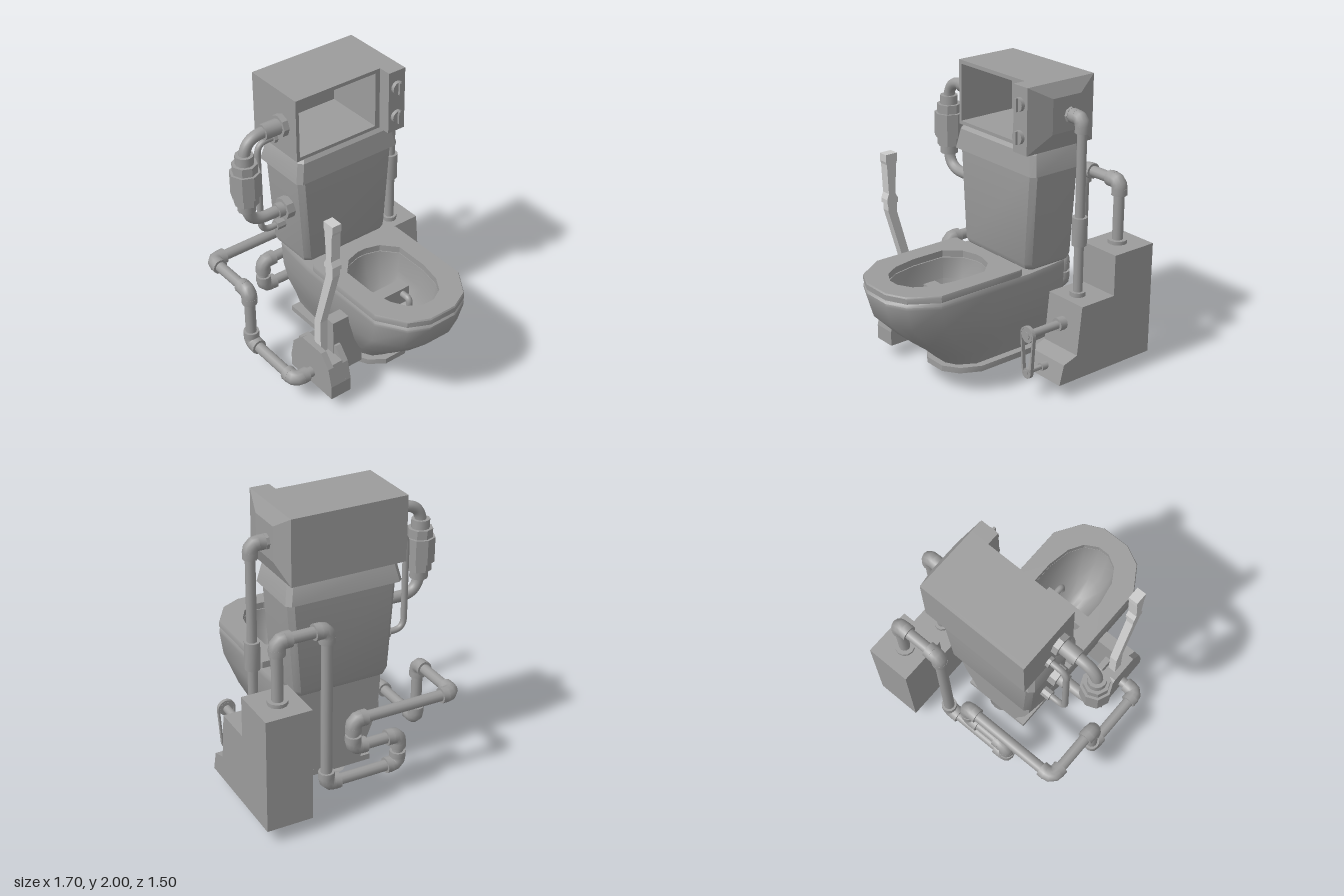
import * as THREE from 'three';
import { toCreasedNormals } from 'three/addons/utils/BufferGeometryUtils.js';

const V = (x, y, z) => new THREE.Vector3(x, y, z);

export function createModel() {
  const model = new THREE.Group();
  const grey = new THREE.MeshStandardMaterial({ color: 0x9c9c9c });
  const pale = new THREE.MeshStandardMaterial({ color: 0xcccccc });

  function add(name, geo, mat = grey, parent = model) {
    const m = new THREE.Mesh(geo, mat);
    m.name = name;
    parent.add(m);
    return m;
  }
  // box from min/max extents
  function box(name, x0, x1, y0, y1, z0, z1) {
    const g = new THREE.BoxGeometry(x1 - x0, y1 - y0, z1 - z0);
    g.translate((x0 + x1) / 2, (y0 + y1) / 2, (z0 + z1) / 2);
    return add(name, g);
  }
  // cylinder between two points
  function rod(name, a, b, r, seg = 12, parent = model) {
    const d = b.clone().sub(a);
    const g = new THREE.CylinderGeometry(r, r, d.length(), seg);
    const m = add(name, toCreasedNormals(g, 0.7), grey, parent);
    m.position.copy(a).addScaledVector(d, 0.5);
    m.quaternion.setFromUnitVectors(V(0, 1, 0), d.normalize());
    return m;
  }
  // skin through rings that run counter-clockwise seen from above
  function loft(rings, caps = true, crease = 0.5) {
    const n = rings[0].length, pos = rings.flat(2), idx = [];
    for (let i = 0; i < rings.length - 1; i++) for (let j = 0; j < n; j++) {
      const k = (j + 1) % n, a = i * n + j, b = i * n + k;
      idx.push(a, b, b + n, a, b + n, a + n);
    }
    const last = (rings.length - 1) * n;
    for (let j = 1; caps && j < n - 1; j++) idx.push(0, j + 1, j, last, last + j, last + j + 1);
    const g = new THREE.BufferGeometry();
    g.setAttribute('position', new THREE.Float32BufferAttribute(pos, 3));
    g.setIndex(idx);
    return toCreasedNormals(g, crease);
  }
  // rectangle ring with cut corners
  function rect(y, x0, x1, z0, z1, c) {
    return [[x1, z1 - c], [x1, z0 + c], [x1 - c, z0], [x0 + c, z0], [x0, z0 + c], [x0, z1 - c], [x0 + c, z1], [x1 - c, z1]]
      .map(([x, z]) => [x, y, z]);
  }
  // flat outline in x and y, extruded along z
  const points = pts => pts.map(p => new THREE.Vector2(...p));
  const slab = (name, pts, z0, z1, mat) => add(name, new THREE.ExtrudeGeometry(
    new THREE.Shape(points(pts)), { depth: z1 - z0, bevelEnabled: false }).translate(0, 0, z0), mat);
  // bent tube with rounded corners
  function tube(name, pts, r, bend, parent = model) {
    const path = new THREE.CurvePath();
    let from = pts[0];
    for (let i = 1; i < pts.length - 1; i++) {
      const dir = pts[i].clone().sub(pts[i - 1]).normalize();
      const out = pts[i + 1].clone().sub(pts[i]).normalize();
      const a = pts[i].clone().addScaledVector(dir, -bend), b = pts[i].clone().addScaledVector(out, bend);
      path.add(new THREE.LineCurve3(from, a));
      path.add(new THREE.QuadraticBezierCurve3(a, pts[i], b));
      from = b;
    }
    path.add(new THREE.LineCurve3(from, pts[pts.length - 1]));
    return add(name, new THREE.TubeGeometry(path, 24 * pts.length, r, 12), grey, parent);
  }
  // pipe with a thick, tightly bent elbow fitting at every corner
  function pipe(name, pts, r = 0.037, fit = 0.053) {
    const g = new THREE.Group();
    g.name = name;
    model.add(g);
    tube('pipe', pts, r, 0.05, g);
    for (let i = 1; i < pts.length - 1; i++) {
      const p = pts[i];
      const [a, b] = [pts[i - 1], pts[i + 1]].map(q => q.clone().sub(p).normalize());
      const at = (d, s) => p.clone().addScaledVector(d, s);
      add('elbow', new THREE.TubeGeometry(new THREE.QuadraticBezierCurve3(at(a, 0.05), p, at(b, 0.05)), 3, fit, 12), grey, g);
      for (const d of [a, b]) rod('elbowCollar', at(d, 0.045), at(d, 0.09), fit, 12, g);
    }
  }

  // bowl: foot recess, outer wall, rim and hollow in one skin
  const ZC = -0.037;
  const same = x => x;
  const ring = (half, y, fx, fz) => [...half.map(([x, z]) => [fx(x), y, ZC - fz * z]),
    ...half.map(([x, z]) => [fx(x), y, ZC + fz * z]).reverse()];
  const outer = [[0.845, 0.1], [0.78, 0.235], [0.6, 0.35], [0.2, 0.35], [-0.1, 0.35], [-0.3, 0.33], [-0.44, 0.31]];
  const hole = [[0.71, 0.04], [0.66, 0.13], [0.56, 0.19], [0.4, 0.22], [0.16, 0.22], [0.06, 0.13], [0.03, 0.03]];
  const wall = [[0.24, 0.5, 0.44], [0.14, 0.54, 0.46], [0.14, 0.62, 0.56], [0.24, 0.7, 0.66], [0.38, 0.835, 0.84],
    [0.55, 0.965, 0.97], [0.7, 1, 1], [0.72, 1, 1], [0.74, 0.985, 0.98]]
    .map(([y, sx, sz], i) => ring(outer, y, x => (i < 2 ? -0.4 : -0.44) + (x + 0.44) * sx, sz));
  const hollow = [[0.74, 1], [0.6, 0.93], [0.45, 0.72], [0.33, 0.42], [0.28, 0.2]]
    .map(([y, s]) => ring(hole, y, x => 0.32 + (x - 0.32) * s, s));
  add('bowl', loft([...wall, ...hollow], true, 0.75));

  // seat ring
  const seatOut = [...outer.slice(0, 4), [-0.03, 0.35], [-0.05, 0.34], [-0.05, 0.2]];
  const seatRings = [ring(seatOut, 0.745, same, 1), ring(seatOut, 0.78, same, 1), ring(seatOut, 0.79, x => x * 0.993, 0.99),
    ring(hole, 0.79, same, 1), ring(hole, 0.745, same, 1)];
  add('seat', loft([...seatRings, seatRings[0]], false));

  // foot plate ring and drain bend
  const foot = [[0.4, 0.08], [0.33, 0.18], [0.2, 0.245], [-0.1, 0.245], [-0.3, 0.245], [-0.44, 0.245]];
  const footRings = [[0.1, 1], [0.14, 1], [0.14, 0.62], [0.1, 0.62], [0.1, 1]]
    .map(([y, s]) => ring(foot, y, x => -0.02 + (x + 0.02) * (s === 1 ? 1 : 0.84), s));
  add('footPlate', loft(footRings, false));
  const drain = new THREE.CatmullRomCurve3([V(0.1, 0.22, ZC), V(-0.05, 0.12, ZC), V(-0.2, 0.077, ZC), V(-0.34, 0.095, ZC), V(-0.42, 0.14, ZC)]);
  add('drainBend', new THREE.TubeGeometry(drain, 20, 0.075, 12), new THREE.MeshStandardMaterial({ color: 0x9c9c9c, side: THREE.DoubleSide }));

  // cistern and its lid
  add('cistern', loft([rect(0.74, -0.465, -0.145, -0.34, 0.28, 0.03), rect(0.755, -0.485, -0.125, -0.355, 0.295, 0.035),
    rect(0.79, -0.5, -0.11, -0.365, 0.305, 0.035), rect(1.42, -0.505, -0.105, -0.41, 0.345, 0.035)]));
  add('cisternLid', loft([rect(1.41, -0.53, -0.08, -0.435, 0.372, 0.03), rect(1.545, -0.495, -0.1, -0.405, 0.345, 0.03),
    rect(1.567, -0.475, -0.12, -0.39, 0.33, 0.03)]));

  // open cabinet on top
  const frame = new THREE.Shape(points([[-0.355, 1.565], [0.43, 1.565], [0.43, 2], [-0.355, 2]]));
  frame.holes.push(new THREE.Path(points([[-0.332, 1.59], [-0.332, 1.975], [0.265, 1.975], [0.265, 1.59]])));
  const frameGeo = new THREE.ExtrudeGeometry(frame, { depth: 0.43, bevelEnabled: false });
  add('cabinetShell', frameGeo.rotateY(Math.PI / 2).translate(-0.55, 0, 0));
  box('cabinetBack', -0.575, -0.55, 1.565, 2, -0.43, 0.355);
  box('controlPanel', -0.12, -0.03, 1.565, 2, -0.43, -0.3);
  const hump = loft([rect(0.43, -0.575, -0.03, 1.565, 2, 0), rect(0.475, -0.43, -0.2, 1.68, 1.91, 0)], true, 0.1);
  add('cabinetRearHump', hump.rotateX(-Math.PI / 2));
  for (const y of [1.885, 1.675]) {
    rod('knob', V(-0.03, y, -0.363), V(-0.005, y, -0.363), 0.045, 14);
    box('knobGrip', -0.005, 0.01, y - 0.043, y + 0.043, -0.371, -0.355);
  }

  // filter line from cabinet to cistern
  const FX = -0.26, FZ = 0.65;
  tube('filterPipe', [V(FX, 1.775, 0.34), V(FX, 1.775, FZ), V(FX, 1.15, FZ), V(FX, 1.15, 0.3)], 0.038, 0.14);
  rod('filterFlangeTop', V(FX, 1.775, 0.35), V(FX, 1.775, 0.395), 0.075, 8);
  rod('filterSleeveTop', V(FX, 1.775, 0.39), V(FX, 1.775, 0.51), 0.053);
  rod('filterFlangeBottom', V(FX, 1.15, 0.31), V(FX, 1.15, 0.385), 0.075, 8);
  rod('filterSleeveBottom', V(FX, 1.15, 0.38), V(FX, 1.15, 0.43), 0.05);
  rod('filterCollar', V(FX, 1.26, FZ), V(FX, 1.67, FZ), 0.06);
  rod('filterBody', V(FX, 1.38, FZ), V(FX, 1.55, FZ), 0.1, 8);
  rod('filterRim', V(FX, 1.32, FZ), V(FX, 1.61, FZ), 0.083, 8);

  // thin bypass line beside it
  tube('bypassPipe', [V(-0.35, 1.64, 0.34), V(-0.35, 1.64, 0.492), V(-0.35, 0.965, 0.492), V(-0.35, 0.965, 0.28)], 0.021, 0.08);
  rod('bypassFlangeTop', V(-0.35, 1.64, 0.35), V(-0.35, 1.64, 0.38), 0.038, 8);
  rod('bypassFlangeBottom', V(-0.35, 0.965, 0.29), V(-0.35, 0.965, 0.38), 0.036, 8);

  // stepped machine housing
  slab('machineHousing', [[-0.85, 0.1], [-0.06, 0.1], [-0.095, 0.235], [-0.205, 0.27], [-0.24, 0.6], [-0.515, 0.6],
    [-0.515, 0.88], [-0.85, 0.88]], -0.745, -0.432);

  // belt drive on the housing
  const CZ = -0.587;
  const beltLoop = (path, grow) => {
    path.absarc(0, 0.44, 0.05 + grow, 0, Math.PI, false);
    path.absarc(0, 0.18, 0.03 + grow, Math.PI, Math.PI * 2, false);
    path.closePath();
    return path;
  };
  const belt = beltLoop(new THREE.Shape(), 0.012);
  belt.holes.push(beltLoop(new THREE.Path(), 0));
  add('driveBelt', new THREE.ExtrudeGeometry(belt, { depth: 0.025, bevelEnabled: false, curveSegments: 10 })
    .rotateY(Math.PI / 2).translate(0.06, 0, CZ));
  for (const [y, r, x0] of [[0.44, 0.05, -0.225], [0.18, 0.03, -0.09]]) {
    rod('driveShaft', V(x0, y, CZ), V(0.09, y, CZ), r * 0.55);
    rod('pulley', V(0.06, y, CZ), V(0.085, y, CZ), r);
    rod('shaftFlange', V(x0, y, CZ), V(x0 + 0.055, y, CZ), r * 0.9);
  }

  // riser from housing to cabinet
  pipe('riserPipe', [V(-0.345, 0.58, -0.585), V(-0.345, 1.785, -0.585), V(-0.345, 1.785, -0.45)], 0.032, 0.048);
  rod('riserSleeve', V(-0.345, 0.95, -0.585), V(-0.345, 1.14, -0.585), 0.05);
  rod('riserFoot', V(-0.345, 0.595, -0.585), V(-0.345, 0.63, -0.585), 0.052);
  rod('riserFlange', V(-0.345, 1.785, -0.47), V(-0.345, 1.785, -0.495), 0.052, 8);

  // one long pipe from the housing, around the side, to the lever housing
  const PX = -0.685;
  pipe('mainPipe', [V(PX, 0.86, -0.585), V(PX, 1.3, -0.585), V(PX, 1.3, -0.25), V(PX, 0.2, -0.25), V(PX, 0.2, 0.27),
    V(PX, 0.41, 0.27), V(PX, 0.41, -0.06), V(PX, 0.61, -0.06), V(PX, 0.61, 0.67), V(-0.26, 0.61, 0.67),
    V(-0.26, 0.19, 0.67), V(0.235, 0.19, 0.67), V(0.235, 0.19, 0.5)]);
  rod('mainPipeFlange', V(PX, 0.88, -0.585), V(PX, 0.905, -0.585), 0.065);

  // lever housing: two cheeks and a lower middle
  const cheek = [[0.015, 0.1], [0.45, 0.1], [0.45, 0.2], [0.42, 0.33], [0.345, 0.42], [0.145, 0.42], [0.045, 0.33], [0.015, 0.2]];
  slab('leverHousingFront', cheek, 0.5, 0.54);
  slab('leverHousingRear', cheek, 0.383, 0.425);
  slab('leverHousingCore', [...cheek.slice(0, 3), [0.415, 0.35], [0.05, 0.35], [0.015, 0.2]], 0.425, 0.5);

  // lever
  slab('lever', [[0.21, 0.34], [0.275, 0.34], [0.275, 0.6], [0.41, 1.05], [0.41, 1.1], [0.34, 1.1], [0.34, 1.03], [0.21, 0.58]], 0.435, 0.49, pale);
  slab('leverHandle', [[0.335, 1.1], [0.42, 1.1], [0.42, 1.13], [0.405, 1.17], [0.415, 1.37], [0.422, 1.39], [0.422, 1.44],
    [0.335, 1.44], [0.335, 1.39], [0.342, 1.37], [0.355, 1.17], [0.335, 1.13]], 0.43, 0.497, pale);

  // bracket, spray arm and nozzle in the bowl
  box('bracket', 0.24, 0.33, 0.17, 0.6, 0.2, 0.43);
  box('sprayArm', 0.24, 0.33, 0.48, 0.6, -0.2, 0.22);
  tube('nozzle', [V(0.32, 0.56, -0.145), V(0.4, 0.56, -0.145), V(0.4, 0.5, -0.145)], 0.022, 0.03);

  return model;
}
